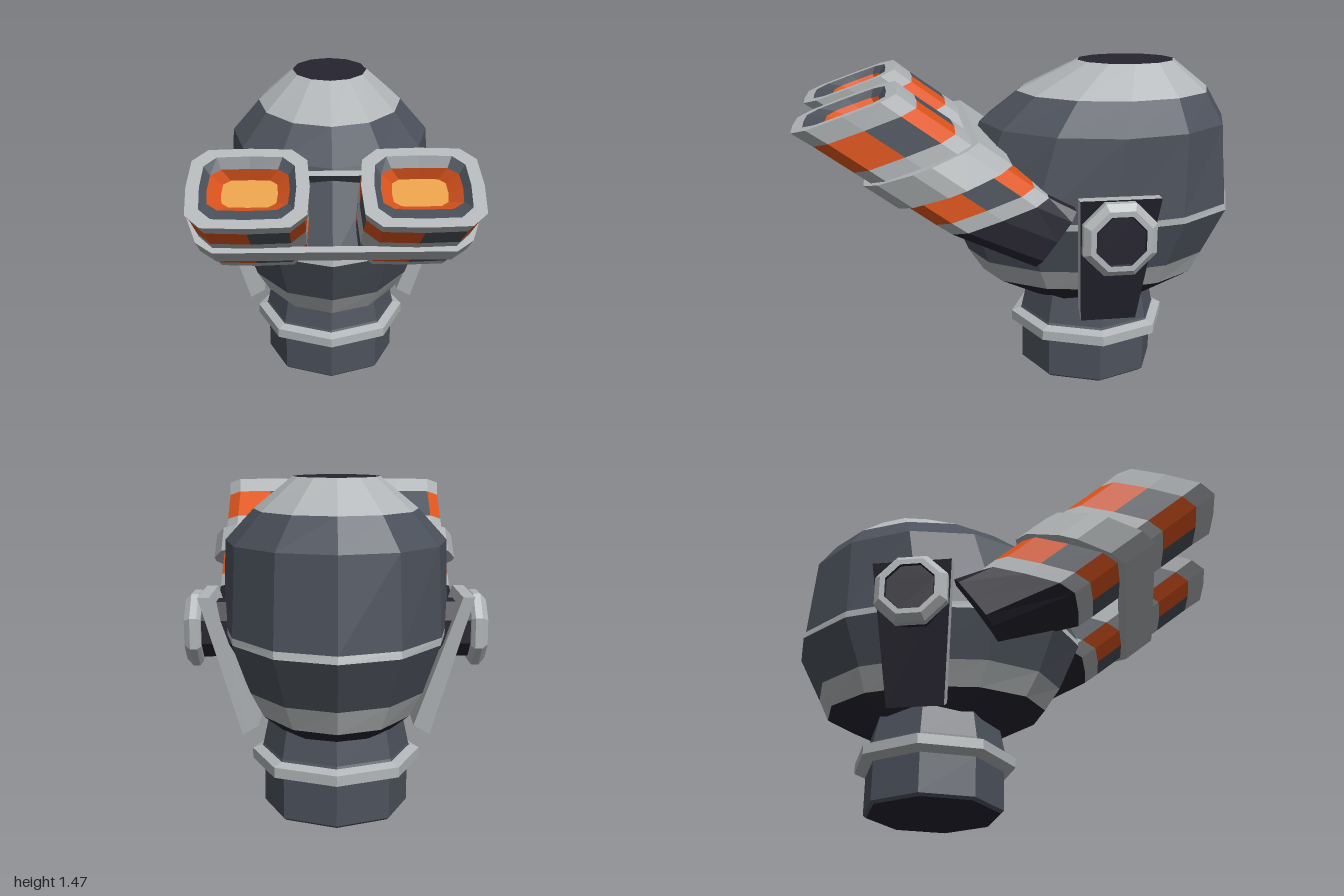
import * as THREE from 'three';

const mat = (name, color) => {
  const m = new THREE.MeshStandardMaterial({ color });
  m.name = name;
  return m;
};
const dark = mat('slate grey', 0x4c525c);
const black = mat('near black', 0x252430);
const light = mat('light grey', 0xb2b6b8);
const orange = mat('orange', 0xe2571f);
const amber = mat('amber lens', 0xe8a04a);

// Faceted skin over a list of rings. bands[i] colours the strip between
// ring i and i + 1: one material, or one material for each side.
function loft(name, rings, bands, startCap, endCap) {
  const byMat = new Map();
  const tri = (m, ...pts) => {
    if (!byMat.has(m)) byMat.set(m, []);
    pts.forEach((p) => byMat.get(m).push(p.x, p.y, p.z));
  };
  const n = rings[0].length;
  bands.forEach((band, i) => {
    const r0 = rings[i], r1 = rings[i + 1];
    for (let j = 0; j < n; j++) {
      const k = (j + 1) % n;
      const m = Array.isArray(band) ? band[j] : band;
      tri(m, r0[j], r0[k], r1[k]);
      tri(m, r0[j], r1[k], r1[j]);
    }
  });
  const first = rings[0], last = rings[rings.length - 1];
  for (let j = 1; j < n - 1; j++) {
    if (startCap) tri(startCap, first[0], first[j + 1], first[j]);
    if (endCap) tri(endCap, last[0], last[j], last[j + 1]);
  }
  const geo = new THREE.BufferGeometry();
  const pos = [], mats = [];
  byMat.forEach((list, m) => {
    geo.addGroup(pos.length / 3, list.length / 3, mats.length);
    for (const v of list) pos.push(v);
    mats.push(m);
  });
  geo.setAttribute('position', new THREE.Float32BufferAttribute(pos, 3));
  geo.computeVertexNormals();
  const mesh = new THREE.Mesh(geo, mats);
  mesh.name = name;
  return mesh;
}

// Horizontal ellipse ring
function ellipse(n, y, rx, rz = rx, cz = 0, turn = 0) {
  return Array.from({ length: n }, (_, i) => {
    const a = (i / n) * Math.PI * 2 + turn;
    return new THREE.Vector3(Math.sin(a) * rx, y, cz + Math.cos(a) * rz);
  });
}

// Eyepiece frame: e runs up the slanted lens plane, t runs back along the tube
const tubePoint = (x, e, t) =>
  new THREE.Vector3(x, 1.345 + 0.33 * e - 0.59 * t, 0.785 - 0.945 * e - 0.81 * t);

// Twelve-sided chamfered section, starting at the middle of its bottom edge
function section(cx, w, h, t, ec = 0, slope = 0) {
  const a = w * 0.7, b = h * 0.68, s = w * 0.96;
  const pts = [[0, -h], [a, -h * 0.97], [s, -b], [w, 0], [s, b], [a, h * 0.97],
    [0, h], [-a, h * 0.97], [-s, b], [-w, 0], [-s, -b], [-a, -h * 0.97]];
  return pts.map(([x, e]) => tubePoint(cx + x, ec + e, t - slope * e));
}

function createHead() {
  // y, half width, back z, front z
  const rows = [
    [0.39, 0.26, -0.65, -0.01], [0.48, 0.35, -0.84, 0.19], [0.585, 0.41, -0.89, 0.26],
    [0.8, 0.485, -1, 0.355], [0.83, 0.488, -0.99, 0.35], [1.2, 0.47, -0.95, 0.2],
    [1.335, 0.345, -0.87, 0.03], [1.47, 0.18, -0.7, -0.25]];
  const rings = rows.map(([y, rx, b, f]) => ellipse(12, y, rx, (f - b) / 2, (f + b) / 2));
  return loft('head', rings, [black, light, dark, light, dark, dark, light], black, black);
}

function createNeck() {
  const rows = [[0, 0.305], [0.012, 0.32], [0.19, 0.32], [0.21, 0.373],
    [0.255, 0.373], [0.27, 0.33], [0.28, 0.325], [0.42, 0.295]];
  const rings = rows.map(([y, r]) => ellipse(8, y, r, r, -0.32));
  return loft('neck', rings, [dark, dark, light, light, light, dark, dark], black, dark);
}

function createEyepiece(side) {
  const cx = side * 0.325;
  const rings = [
    section(side * 0.42, 0.13, 0.184, 0.98, 0.064, 0.57), // tapered tail
    section(cx, 0.222, 0.222, 0.77),
    section(cx, 0.222, 0.225, 0.69),
    section(cx, 0.222, 0.225, 0.54),
    section(cx, 0.222, 0.225, 0.29),
    section(cx, 0.222, 0.225, 0.1),
    section(cx, 0.23, 0.228, 0), // rim
    section(cx, 0.18, 0.18, 0),
    section(cx, 0.155, 0.12, 0.035),
    section(cx, 0.108, 0.08, 0.1)]; // lens
  const o = orange, d = dark;
  const checks = [d, o, o, d, o, o, d, o, o, d, o, o];
  return loft('eyepiece', rings,
    [black, light, checks, light, checks, light, light, dark, orange], black, amber);
}

// Hollow band that wraps both eyepieces
function createBridge() {
  const outer = [[-0.48, -0.25], [0.48, -0.25], [0.55, -0.19], [0.6, -0.04], [0.6, 0.04],
    [0.55, 0.19], [0.48, 0.25], [-0.48, 0.25], [-0.55, 0.19], [-0.6, 0.04],
    [-0.6, -0.04], [-0.55, -0.19]];
  const loop = (grow, t) => outer.map(([x, e]) => tubePoint(x * (grow ? 1 : 0.88), e * (grow ? 1 : 0.86), t));
  const rings = [loop(true, 0.54), loop(true, 0.37), loop(false, 0.37), loop(false, 0.54), loop(true, 0.54)];
  return loft('bridge band', rings, [light, light, dark, light]);
}

function createEar(side) {
  const group = new THREE.Group();
  group.name = side > 0 ? 'leftEar' : 'rightEar';

  // Octagonal disc, built upright and turned outwards
  const rows = [[0.4, 0.13], [0.575, 0.13], [0.575, 0.15], [0.59, 0.17], [0.62, 0.17],
    [0.647, 0.14], [0.647, 0.115], [0.638, 0.11]];
  const rings = rows.map(([y, r]) => ellipse(8, y, r, r, 0, Math.PI / 8));
  const disc = loft('ear disc', rings, [black, light, light, light, light, light, black], black, black);
  disc.rotation.z = -side * Math.PI / 2;
  disc.position.set(0, 0.81, -0.32);

  // Slanted cheek strap: black outer face, light edges
  const geo = new THREE.BoxGeometry(1, 1, 1);
  const p = geo.attributes.position;
  for (let i = 0; i < p.count; i++) {
    const out = p.getX(i) * side > 0, top = p.getY(i) > 0;
    p.setXYZ(i,
      side * (top ? (out ? 0.58 : 0.53) : (out ? 0.405 : 0.335)),
      top ? 0.97 : (out ? 0.36 : 0.4),
      -0.33 + p.getZ(i) * (top ? 0.35 : 0.25));
  }
  geo.computeVertexNormals();
  const strap = new THREE.Mesh(geo,
    [side > 0 ? black : light, side > 0 ? light : black, light, light, light, light]);
  strap.name = 'cheek strap';
  group.add(disc, strap);
  return group;
}

export function createModel() {
  const model = new THREE.Group();
  model.name = 'gogglesHead';
  model.add(createHead(), createNeck(), createBridge());
  for (const side of [-1, 1]) model.add(createEyepiece(side), createEar(side));
  return model;
}
